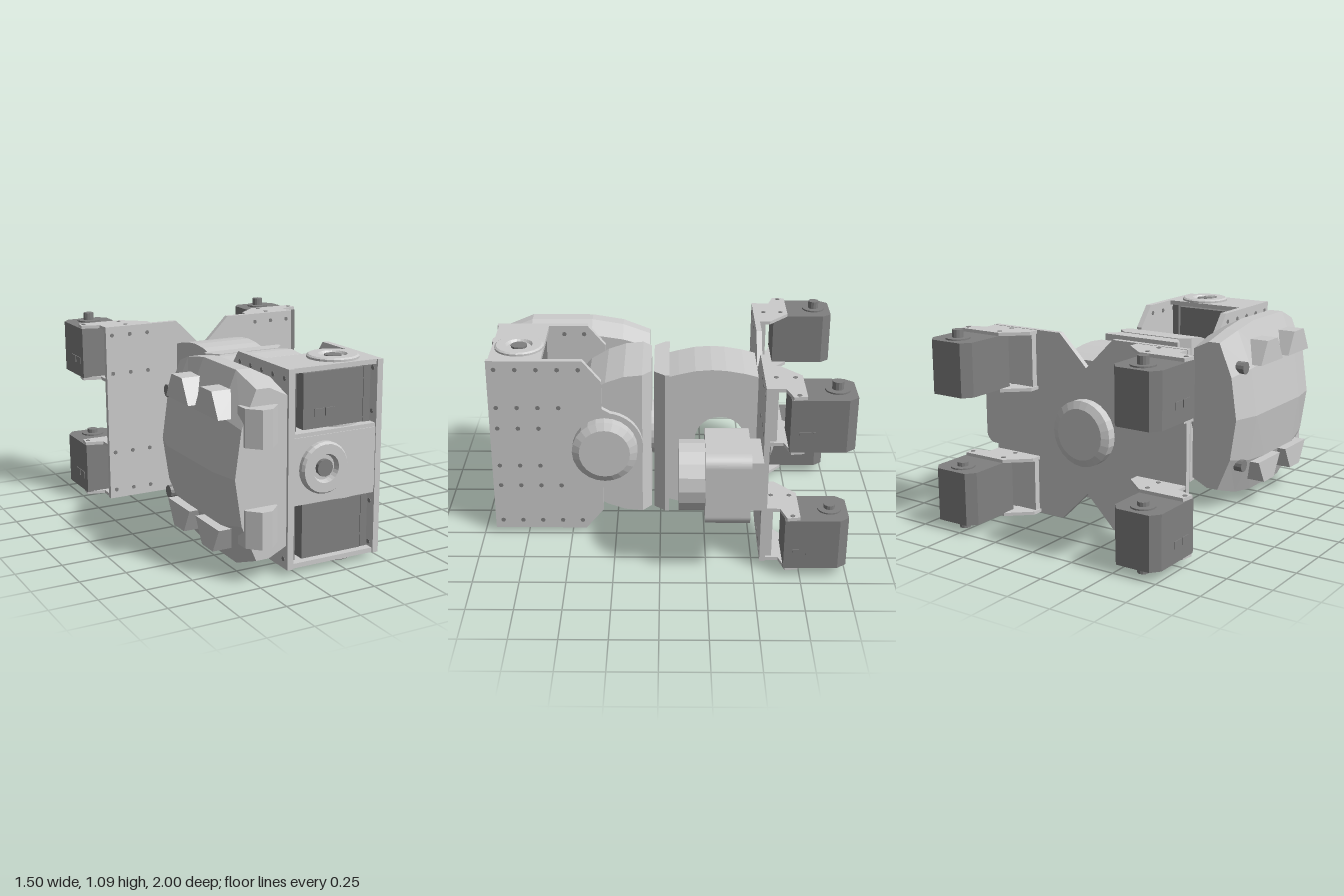
import * as THREE from 'three';

const grey = new THREE.MeshStandardMaterial({ color: 0xcccccc, flatShading: true });
const dark = new THREE.MeshStandardMaterial({ color: 0x808080, flatShading: true });
const thin = new THREE.MeshStandardMaterial({ color: 0xcccccc, flatShading: true, side: THREE.DoubleSide });
const CY = 0.545; // height of the main axis
const MX = -0.0375; // mirror line of the back plate

export function createModel() {
  const root = new THREE.Group();

  const add = (name, geo, mat = grey) => {
    const m = new THREE.Mesh(geo, mat);
    m.name = name;
    root.add(m);
    return m;
  };
  // box from min / max limits
  const box = (name, x0, x1, y0, y1, z0, z1, mat) =>
    add(name, new THREE.BoxGeometry(x1 - x0, y1 - y0, z1 - z0)
      .translate((x0 + x1) / 2, (y0 + y1) / 2, (z0 + z1) / 2), mat);
  const aim = (m, dir) =>
    m.quaternion.setFromUnitVectors(new THREE.Vector3(0, 1, 0), new THREE.Vector3(...dir));
  // cylinder standing on point p along dir
  const cyl = (name, r0, r1, h, p, dir, mat, n = 24) => {
    const m = add(name, new THREE.CylinderGeometry(r1, r0, h, n).translate(0, h / 2, 0), mat);
    m.position.set(...p);
    aim(m, dir);
    return m;
  };
  const toShape = (pts) => new THREE.Shape(pts.map((p) => new THREE.Vector2(...p)));
  const extrude = (s, depth) =>
    new THREE.ExtrudeGeometry(s, { depth, bevelEnabled: false, curveSegments: 12 });
  // profile in (z, y), from x0 to x1
  const alongX = (name, s, x0, x1, mat) =>
    add(name, extrude(s, x1 - x0).rotateY(-Math.PI / 2).translate(x1, 0, 0), mat);
  // profile in (x, z), from y0 to y1
  const alongY = (name, s, y0, y1, mat) =>
    add(name, extrude(s, y1 - y0).rotateX(Math.PI / 2).translate(0, y1, 0), mat);

  // Ringed output horn with a dark centre
  const horn = (name, p, dir, h) => {
    const ring = [[0.135, 0], [0.135, h * 0.6], [0.125, h], [0.075, h], [0.065, h * 0.2], [0, h * 0.2]];
    const m = add(name, new THREE.LatheGeometry(ring.map((q) => new THREE.Vector2(...q)), 24), thin);
    m.position.set(...p);
    aim(m, dir);
    cyl(name + 'Centre', 0.045, 0.045, h * 0.8, p, dir, dark, 12);
  };

  // Back plate with a V notch at top and bottom
  const n = 0.17;
  const plate = toShape([
    [-0.655, 0.03], [MX - n, 0.03], [MX, 0.03 + n], [MX + n, 0.03], [0.58, 0.03],
    [0.58, 1.06], [MX + n, 1.06], [MX, 1.06 - n], [MX - n, 1.06], [-0.655, 1.06],
  ]);
  add('backPlate', extrude(plate, 0.03).translate(0, 0, -0.57));
  for (const s of [-1, 1])
    for (const dx of [0.36, 0.47, 0.58])
      for (const y of [0.08, 0.31, 0.785, 1.01])
        cyl('plateBolt', 0.012, 0.012, 0.034, [MX + s * dx, y, -0.572], [0, 0, 1], dark, 8);
  cyl('backHub', 0.18, 0.18, 0.05, [MX, CY, -0.57], [0, 0, -1]);
  cyl('backHubCap', 0.18, 0.14, 0.018, [MX, CY, -0.62], [0, 0, -1]);

  // Four rear actuators, each in a U bracket
  for (const s of [-1, 1]) {
    const X = (v) => MX + s * v;
    const ordered = (pts) => toShape(pts.map(([x, z]) => [X(x), z]));
    const flange = () => ordered([[0.32, -0.57], [0.32, -0.63], [0.445, -0.74],
      [0.705, -0.74], [0.715, -0.67], [0.615, -0.64], [0.615, -0.57]]);
    const body = () => ordered([[0.445, -0.66], [0.445, -0.95], [0.485, -1], [0.675, -1],
      [0.715, -0.95], [0.715, -0.66]]);
    for (const up of [0, 1]) {
      const y0 = up ? 0.75 : 0.05;
      alongY('rearActuator', body(), y0, y0 + 0.29, dark);
      for (const y of [y0 - 0.015, y0 + 0.29]) {
        alongY('rearBracketFlange', flange(), y, y + 0.018);
        for (const [x, z] of [[0.47, -0.7], [0.69, -0.7], [0.47, -0.6]])
          cyl('rearBracketBolt', 0.013, 0.013, 0.022, [X(x), y - 0.002, z], [0, 1, 0], dark, 8);
      }
      const xs = [X(0.33), X(0.6)].sort((a, b) => a - b);
      box('rearBracketWeb', xs[0], xs[1], y0, y0 + 0.29, -0.605, -0.57);
      // shaft through top and bottom
      cyl('rearShaftCollar', 0.065, 0.065, 0.306, [X(0.58), y0 - 0.008, -0.905], [0, 1, 0], dark, 20);
      cyl('rearShaft', 0.03, 0.03, up ? 0.355 : 0.37, [X(0.58), up ? 0.735 : 0, -0.905], [0, 1, 0], dark, 12);
      // connector sockets
      const side = X(0.715);
      for (const z of [-0.805, -0.735])
        box('rearSocket', side - 0.004, side + 0.004, y0 + 0.075, y0 + 0.115, z - 0.03, z + 0.03, dark);
    }
  }

  // Neck barrel with a round opening
  const mirrorY = (pts) => toShape([...pts, ...pts.map(([z, y]) => [z, 2 * CY - y]).reverse()]);
  const neck = mirrorY([[-0.535, 0.925], [-0.46, 0.945], [-0.36, 0.962], [-0.28, 0.967],
    [-0.19, 0.96], [-0.1, 0.94], [-0.045, 0.925]]);
  const bore = new THREE.Path();
  bore.absarc(-0.33, CY, 0.14, 0, Math.PI * 2, true);
  neck.holes.push(bore);
  alongX('neckBarrel', neck, -0.21, 0.135);

  // Bevelled turning flange and the pivot block facing it
  alongY('neckFlange', toShape([[-0.275, -0.05], [0.205, -0.05], [0.205, -0.025], [0.15, 0.035],
    [-0.22, 0.035], [-0.275, -0.025]]), 0.125, 0.965);
  cyl('turningJoint', 0.15, 0.15, 0.03, [MX, CY, 0.03], [0, 0, 1]);
  alongX('pivotBlock', mirrorY([[0.1, 0.965], [0.2, 0.955], [0.3, 0.92], [0.4, 0.86], [0.48, 0.77]]), -0.274, 0.204);
  alongY('pivotBlockBevel', toShape([[-0.274, 0.1], [-0.215, 0.05], [0.145, 0.05], [0.204, 0.1]]), 0.125, 0.965);

  // Side plates with a round pivot lobe
  for (const [x0, x1] of [[-0.31, -0.275], [0.205, 0.238]]) {
    const s = toShape([[0.935, 0.03], [0.935, 1.06], [0.42, 1.06], [0.32, 0.94], [0.32, 0.78], [0.27, 0.75]]);
    s.absarc(0.305, CY, 0.21, Math.PI * 0.55, Math.PI * 1.45, false);
    s.lineTo(0.27, 0.34);
    s.lineTo(0.32, 0.31);
    s.lineTo(0.32, 0.15);
    s.lineTo(0.42, 0.03);
    alongX('sidePlate', s, x0, x1);
    for (const [dy, count] of [[0.465, 5], [0.24, 4], [0.115, 3]])
      for (const k of [-1, 1])
        for (let i = 0; i < count; i++)
          cyl('sideBolt', 0.013, 0.013, x1 - x0 + 0.004, [x0 - 0.002, CY + k * dy, 0.893 - i * 0.113], [1, 0, 0], dark, 8);
  }
  cyl('pivotHub', 0.18, 0.18, 0.055, [0.238, CY, 0.305], [1, 0, 0]);
  cyl('pivotHubCap', 0.18, 0.14, 0.022, [0.293, CY, 0.305], [1, 0, 0]);

  // Front frame: shelves, two dark actuators and the centre actuator
  for (const [y0, y1] of [[0.03, 0.055], [0.36, 0.385], [0.705, 0.73], [1.035, 1.06]])
    box('frontShelf', -0.275, 0.205, y0, y1, 0.64, 0.925);
  for (const y of [0.065, 0.74]) {
    box('frontActuator', -0.21, 0.14, y, y + 0.285, 0.65, 0.905, dark);
    for (const x of [-0.255, 0.18]) box('frontActuatorMount', x - 0.02, x + 0.02, y - 0.02, y + 0.3, 0.66, 0.88, dark);
  }
  for (const x of [-0.12, -0.055]) box('frontSocket', x - 0.028, x + 0.028, 0.8, 0.84, 0.9, 0.912, dark);
  box('centreActuator', -0.275, 0.205, 0.38, 0.71, 0.64, 0.93);
  for (const y of [0.35, 0.728])
    cyl('shelfHub', 0.135, 0.135, 0.012, [0.04, y, 0.775], [0, 1, 0]);
  horn('topHorn', [0.04, 1.06, 0.775], [0, 1, 0], 0.018);
  horn('bottomHorn', [0.04, 0.03, 0.775], [0, -1, 0], 0.018);
  horn('frontHorn', [-0.11, CY, 0.93], [0, 0, 1], 0.037);
  cyl('centreRearShaft', 0.03, 0.03, 0.04, [-0.11, CY, 0.64], [0, 0, -1], dark, 12);

  // Faceted side shell, lofted from front-facing sections
  const prof = [[-0.31, -0.445], [-0.31, 0.445], [-0.42, 0.5], [-0.5, 0.5], [-0.59, 0.28],
    [-0.63, 0], [-0.59, -0.28], [-0.5, -0.5], [-0.42, -0.5]];
  const rings = [[0.065, 0.84, 0.86], [0.22, 0.94, 1], [0.4, 1, 1], [0.75, 1, 1], [0.92, 0.87, 0.9]];
  const N = prof.length, pos = [], idx = [];
  rings.forEach(([z, sy, sx], i) => {
    for (const [x, y] of prof) pos.push(-0.31 + (x + 0.31) * sx, CY + y * sy, z);
    for (let j = 0; j < N && i < rings.length - 1; j++) {
      const a = i * N + j, b = i * N + ((j + 1) % N);
      idx.push(a, b, b + N, a, b + N, a + N);
    }
  });
  const last = (rings.length - 1) * N;
  for (let j = 1; j < N - 1; j++) idx.push(0, j + 1, j, last, last + j, last + j + 1);
  const shell = new THREE.BufferGeometry();
  shell.setAttribute('position', new THREE.Float32BufferAttribute(pos, 3));
  shell.setIndex(idx);
  shell.computeVertexNormals();
  add('sideShell', shell);

  // Shell studs, front ribs and corner ports, mirrored top and bottom
  for (const k of [-1, 1]) {
    for (const z of [0.37, 0.7]) {
      const stud = toShape([[z - 0.13, 0.28], [z + 0.13, 0.28], [z + 0.06, 0.41], [z - 0.06, 0.41]]
        .map(([a, y]) => [a, CY + k * y]));
      alongX('shellStud', stud, -0.64, -0.5);
    }
    const yc = CY + k * 0.255;
    alongY('frontRib', toShape([[-0.55, 0.86], [-0.37, 0.86], [-0.37, 0.935], [-0.435, 1],
      [-0.49, 1], [-0.55, 0.935]]), yc - 0.097, yc + 0.097);
    cyl('shellPort', 0.035, 0.035, 0.05, [-0.545, CY + k * 0.28, 0.15], [-1, 0, 0], dark, 12);
  }

  // Sensor head on its arm
  const r = 0.2, c = 0.06, sq = new THREE.Shape();
  for (const [i, [sx, sy]] of [[1, 1], [-1, 1], [-1, -1], [1, -1]].entries())
    sq.absarc(0.545 + sx * (r - c), CY + sy * (r - c), c, i * Math.PI / 2, (i + 1) * Math.PI / 2, false);
  add('sensorBody', extrude(sq, 0.235).translate(0, 0, -0.47));
  cyl('sensorLens', 0.188, 0.188, 0.14, [0.545, CY, -0.24], [0, 0, 1], grey, 16);
  box('sensorBack', 0.405, 0.685, 0.41, 0.69, -0.535, -0.47);
  alongY('sensorArm', toShape([[0.29, -0.545], [0.54, -0.545], [0.54, -0.48], [0.4, -0.48], [0.29, -0.515]]), 0.475, 0.62);

  return root;
}
